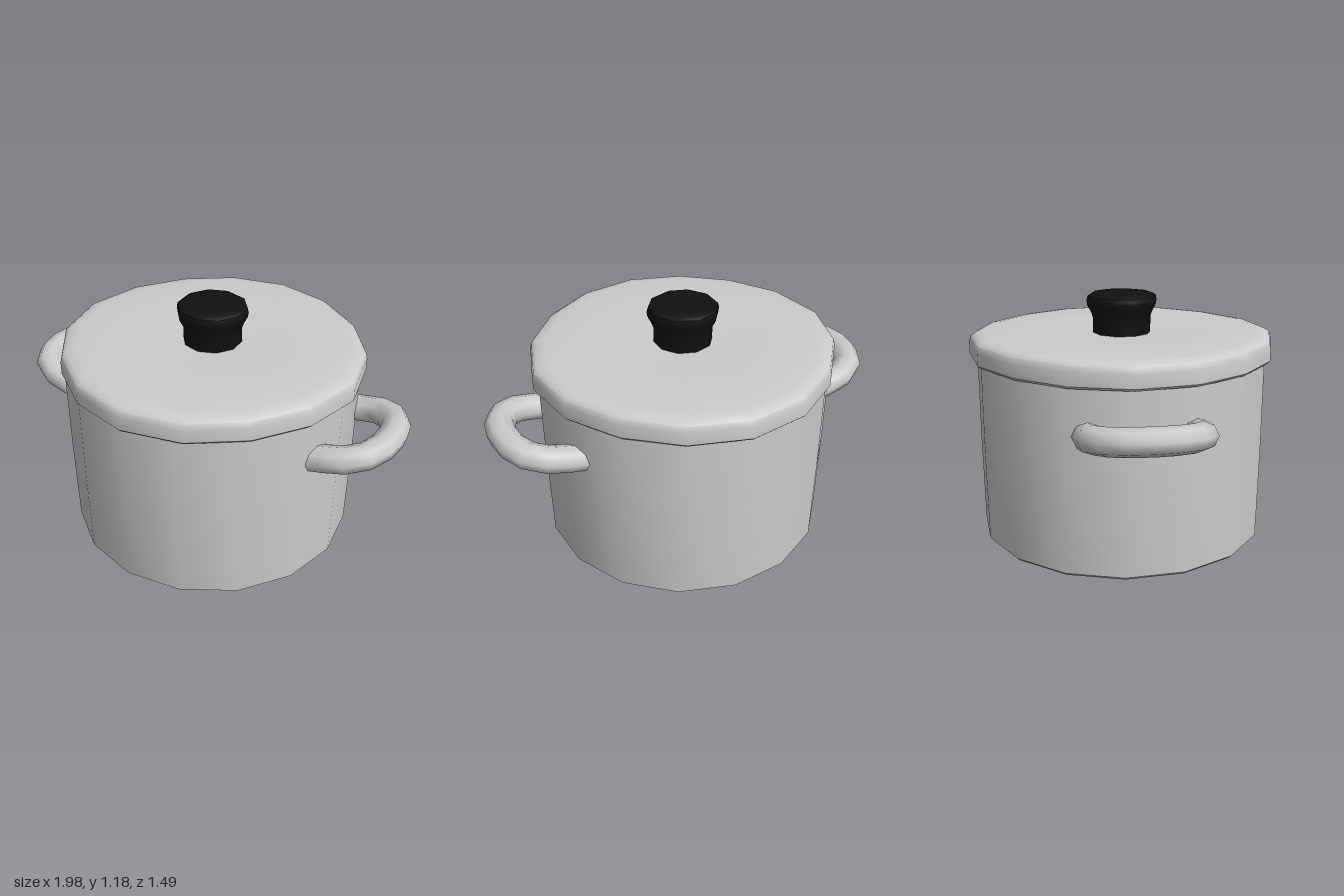
import * as THREE from 'three';
import { toCreasedNormals } from 'three/addons/utils/BufferGeometryUtils.js';

const metal = new THREE.MeshStandardMaterial({ color: 0xcccccc });
const black = new THREE.MeshStandardMaterial({ color: 0x111111 });

// Turned part from a [radius, height] profile, listed from bottom to top
function turned(name, profile, sides, start, material, reshape) {
  const points = profile.map(([r, y]) => new THREE.Vector2(r, y));
  const geometry = new THREE.LatheGeometry(points, sides, start);
  if (reshape) reshape(geometry.attributes.position);
  const mesh = new THREE.Mesh(toCreasedNormals(geometry, 0.7), material);
  mesh.name = name;
  return mesh;
}

// The lid is a touch narrower on its diagonals
function narrowDiagonals(position) {
  for (let i = 0; i < position.count; i++) {
    const x = position.getX(i), z = position.getZ(i);
    const k = 1 - 0.013 * (1 - Math.cos(4 * Math.atan2(z, x)));
    position.setX(i, x * k);
    position.setZ(i, z * k);
  }
}

// Bent loop handle, tilted upwards, with its ends sunk into the wall
function handle(name) {
  const path = new THREE.CatmullRomCurve3([
    [-0.06, -0.24], [0.13, -0.232], [0.225, -0.165], [0.267, -0.01],
    [0.225, 0.155], [0.13, 0.225], [-0.06, 0.232],
  ].map(([x, z]) => new THREE.Vector3(x, 0, z)));
  const geometry = new THREE.TubeGeometry(path, 10, 0.072, 8);
  geometry.scale(1, 0.86, 1);
  geometry.rotateZ(0.2);
  geometry.translate(0.66, 0.668, 0);
  const mesh = new THREE.Mesh(geometry, metal);
  mesh.name = name;
  return mesh;
}

export function createModel() {
  const model = new THREE.Group();
  model.name = 'cookingPot';

  // Pot with a small bevel round the base
  model.add(turned('potBody', [
    [0, 0], [0.692, 0], [0.706, 0.014], [0.712, 0.45], [0.712, 0.9],
  ], 16, -0.11, metal));

  // Lid with a rounded rim and a shallow dip round the knob
  model.add(turned('lid', [
    [0.66, 0.878], [0.733, 0.878], [0.745, 0.89], [0.745, 0.95], [0.737, 0.978],
    [0.715, 0.993], [0.67, 1.0], [0.36, 0.998], [0.22, 0.988], [0, 0.986],
  ], 16, -0.058, metal, narrowDiagonals));

  // Flared knob
  model.add(turned('knob', [
    [0.142, 0.97], [0.142, 1.06], [0.15, 1.085], [0.169, 1.122], [0.172, 1.145],
    [0.167, 1.166], [0.15, 1.177], [0.115, 1.181], [0, 1.181],
  ], 10, 0, black));

  // Two handles, half a turn apart
  const left = handle('leftHandle');
  const right = handle('rightHandle');
  right.rotation.y = Math.PI;
  model.add(left, right);

  return model;
}
